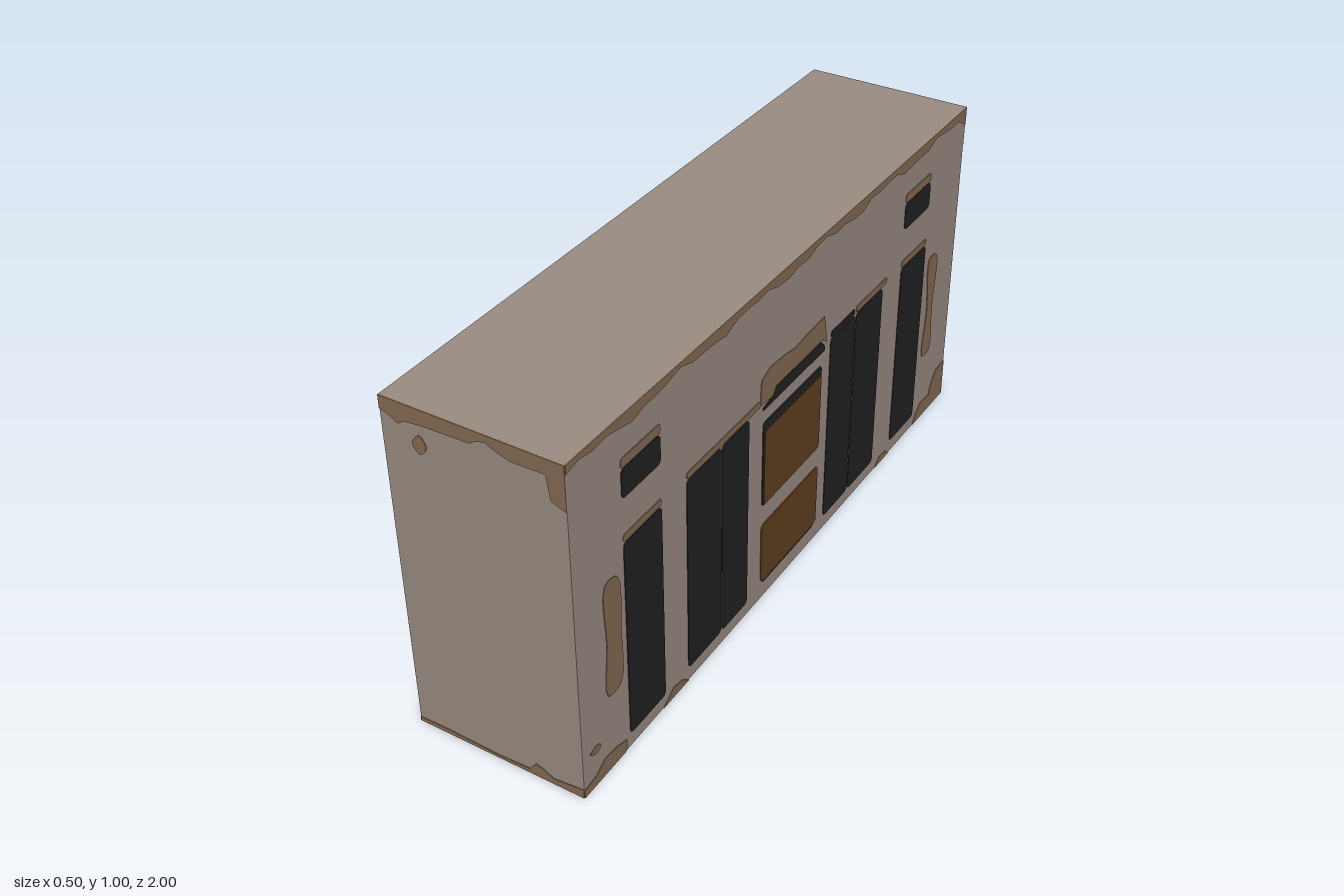
import * as THREE from 'three';

const W = 0.25, L = 1, H = 1;

export function createModel() {
  const mat = (name, color, side = THREE.FrontSide) => {
    const m = new THREE.MeshStandardMaterial({ color, side });
    m.name = name;
    return m;
  };
  const plaster = mat('plaster', 0x9b8d83, THREE.DoubleSide);
  const stain = mat('stain', 0x866b53);
  const dark = mat('darkOpening', 0x222222);
  const wood = mat('doorWood', 0x614020);

  const root = new THREE.Group();
  root.name = 'facadeBlock';
  const add = (parent, name, geo, material, x = 0, y = 0, z = 0) => {
    const m = new THREE.Mesh(geo, material);
    m.name = name;
    m.position.set(x, y, z);
    parent.add(m);
    return m;
  };

  // Thin shell, open towards -x
  add(root, 'facadeWall', new THREE.PlaneGeometry(2 * L, H), plaster, W, H / 2, 0).rotation.y = Math.PI / 2;
  add(root, 'frontEndWall', new THREE.PlaneGeometry(2 * W, H), plaster, 0, H / 2, L);
  add(root, 'backEndWall', new THREE.PlaneGeometry(2 * W, H), plaster, 0, H / 2, -L).rotation.y = Math.PI;
  add(root, 'roof', new THREE.PlaneGeometry(2 * W, 2 * L), plaster, 0, H, 0).rotation.x = -Math.PI / 2;
  add(root, 'floor', new THREE.PlaneGeometry(2 * W, 2 * L), plaster).rotation.x = Math.PI / 2;

  // Painted plates straddle the wall plane, so they show on both sides
  const plate = (parent, name, shape, material, depth = 0.004) =>
    add(parent, name, new THREE.ExtrudeGeometry(shape, { depth, bevelEnabled: false, curveSegments: 4 }),
      material, 0, 0, -depth / 2);
  const poly = (pts) => new THREE.Shape(pts.map(([x, y]) => new THREE.Vector2(x, y)));
  const blob = (pts) => new THREE.Shape(
    new THREE.CatmullRomCurve3(pts.map(([x, y]) => new THREE.Vector3(x, y, 0)), true)
      .getPoints(pts.length * 4).slice(0, -1).map((p) => new THREE.Vector2(p.x, p.y)));
  const rounded = (x0, x1, y0, y1, r = 0.015) => {
    const s = new THREE.Shape();
    s.moveTo(x0 + r, y0);
    s.lineTo(x1 - r, y0);
    s.quadraticCurveTo(x1, y0, x1, y0 + r);
    s.lineTo(x1, y1 - r);
    s.quadraticCurveTo(x1, y1, x1 - r, y1);
    s.lineTo(x0 + r, y1);
    s.quadraticCurveTo(x0, y1, x0, y1 - r);
    s.lineTo(x0, y0 + r);
    s.quadraticCurveTo(x0, y0, x0 + r, y0);
    return s;
  };

  // Facade paint: local x runs towards -z
  const facade = new THREE.Group();
  facade.name = 'facadePaint';
  facade.position.x = W;
  facade.rotation.y = Math.PI / 2;
  root.add(facade);

  // Tall and small windows
  for (const [a, b] of [[-0.8, -0.64], [-0.53, -0.37], [-0.365, -0.235], [0.197, 0.34], [0.346, 0.505], [0.623, 0.783]])
    plate(facade, 'tallWindow', rounded(a, b, 0.042, 0.648), dark);
  for (const [a, b] of [[-0.8, -0.64], [0.623, 0.783]]) {
    plate(facade, 'smallWindow', rounded(a, b, 0.775, 0.857), dark);
    plate(facade, 'smallWindowStain', rounded(a, b, 0.86, 0.887, 0.008), stain);
    plate(facade, 'tallWindowStain', rounded(a, b, 0.652, 0.673, 0.008), stain);
  }
  for (const [a, b] of [[-0.53, -0.18], [0.345, 0.53]])
    plate(facade, 'lintelStain', rounded(a, b, 0.652, 0.672, 0.008), stain);
  plate(facade, 'windowTopEdge', rounded(0.2, 0.335, 0.652, 0.67, 0.005), dark);

  // Door with fanlight and two panels
  plate(facade, 'fanlight', poly([[-0.165, 0.632], [0.165, 0.632], [0.16, 0.652], [0.14, 0.67], [-0.1, 0.67],
    [-0.12, 0.65], [-0.165, 0.64]]), dark);
  plate(facade, 'doorRecess', rounded(-0.163, 0.15, 0.32, 0.592), dark);
  plate(facade, 'upperDoorPanel', rounded(-0.155, 0.148, 0.322, 0.562), wood, 0.007);
  plate(facade, 'lowerDoorShadow', rounded(-0.155, 0.14, 0.05, 0.1), dark);
  plate(facade, 'lowerDoorPanel', rounded(-0.163, 0.148, 0.06, 0.257), wood, 0.007);
  plate(facade, 'doorHeadStain', poly([[-0.18, 0.655], [-0.12, 0.65], [-0.1, 0.672], [0.15, 0.672], [0.172, 0.655],
    [0.165, 0.7], [0.155, 0.742], [0.06, 0.738], [0, 0.732], [-0.06, 0.742], [-0.13, 0.747], [-0.175, 0.73]]), stain);

  // Damp along the eaves, the corners and the foot
  const eaves = [[-1, 1], [-1, 0.975]];
  for (let i = 1; i < 40; i++)
    eaves.push([-1 + i / 20, 0.973 + 0.009 * Math.sin(i * 0.9) + 0.006 * Math.sin(i * 2.3)]);
  plate(facade, 'eavesStain', poly([...eaves, [1, 0.945], [1, 1]]), stain);
  plate(facade, 'leftStreak', blob([[-0.885, 0.24], [-0.83, 0.245], [-0.822, 0.4], [-0.83, 0.575],
    [-0.88, 0.58], [-0.882, 0.4]]), stain);
  plate(facade, 'rightStreak', blob([[0.82, 0.24], [0.87, 0.24], [0.866, 0.4], [0.872, 0.575],
    [0.82, 0.582], [0.83, 0.4]]), stain);
  plate(facade, 'smallSpot', blob([[-0.97, 0.118], [-0.94, 0.103], [-0.925, 0.118], [-0.945, 0.128]]), stain);
  for (const pts of [
    [[-1, 0], [-0.82, 0], [-0.815, 0.035], [-0.86, 0.05], [-0.91, 0.055], [-0.95, 0.03], [-1, 0.025]],
    [[-0.65, 0], [-0.53, 0], [-0.56, 0.025], [-0.6, 0.033]],
    [[0.53, 0], [0.62, 0], [0.6, 0.02], [0.56, 0.024]],
    [[0.79, 0], [1, 0], [1, 0.125], [0.94, 0.12], [0.91, 0.08], [0.9, 0.05], [0.84, 0.055], [0.81, 0.03]],
  ]) plate(facade, 'footStain', poly(pts), stain);

  // End walls carry the same damp pattern
  for (const z of [-L, L]) {
    const end = new THREE.Group();
    end.name = z > 0 ? 'frontEndPaint' : 'backEndPaint';
    end.position.z = z;
    root.add(end);
    plate(end, 'topStain', poly([[-0.25, 1], [-0.25, 0.965], [-0.225, 0.955], [-0.2, 0.94], [-0.18, 0.953],
      [-0.13, 0.958], [0, 0.962], [0.02, 0.975], [0.045, 0.98], [0.07, 0.967], [0.11, 0.955], [0.2, 0.957],
      [0.21, 0.89], [0.25, 0.875], [0.25, 1]]), stain);
    plate(end, 'spot', blob([[-0.165, 0.9], [-0.145, 0.875], [-0.125, 0.9], [-0.142, 0.928]]), stain);
    plate(end, 'bottomStain', poly([[-0.25, 0], [0.25, 0], [0.25, 0.028], [0.16, 0.018], [0.13, 0.035],
      [0.11, 0.04], [0.09, 0.014], [0, 0.009], [-0.1, 0.012], [-0.16, 0.014], [-0.25, 0.012]]), stain);
  }

  // Balustrade inside
  const railX = -0.065;
  add(root, 'handrail', new THREE.BoxGeometry(0.042, 0.025, 2 * L), plaster, railX, 0.237, 0);
  const profile = [[0, 0], [0.011, 0], [0.014, 0.025], [0.024, 0.07], [0.02, 0.1], [0.012, 0.14], [0.011, 0.18],
    [0.016, 0.226]].map(([r, y]) => new THREE.Vector2(r, y));
  const balusterGeo = new THREE.LatheGeometry(profile, 12);
  for (let i = 0; i < 6; i++)
    add(root, 'baluster', balusterGeo, plaster, railX, 0, -0.845 + i * 0.343);

  return root;
}
